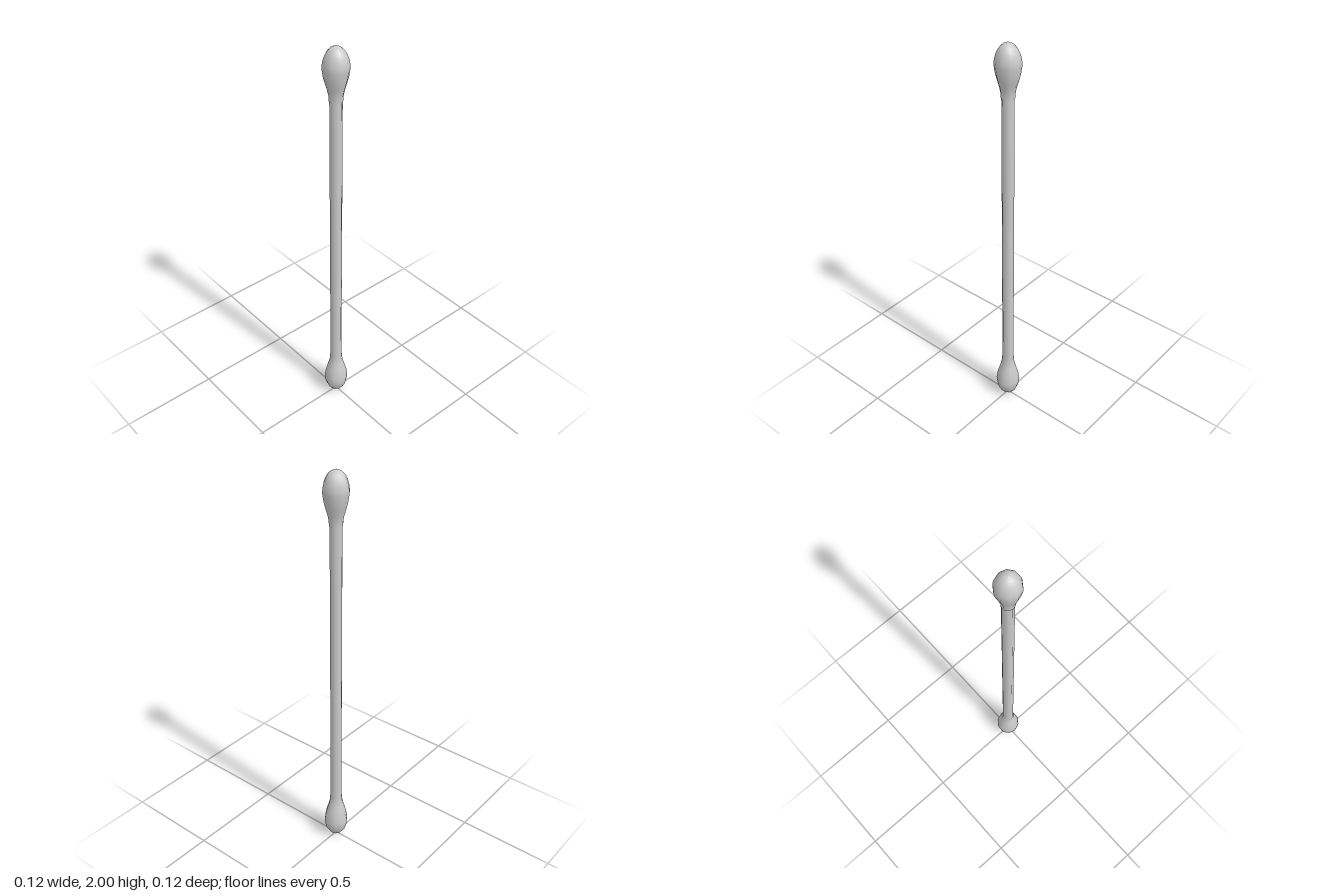
import * as THREE from 'three';

export function createModel() {
  const group = new THREE.Group();
  const material = new THREE.MeshStandardMaterial({ color: 0xcccccc, side: THREE.DoubleSide });
  const sides = 10;

  // Thin straight stick, its ends hidden inside the tips
  const stick = new THREE.Mesh(
    new THREE.CylinderGeometry(0.029, 0.029, 1.56, sides, 1, false, Math.PI / 2), material);
  stick.name = 'stick';
  stick.position.y = 1;
  group.add(stick);

  // Swab profile, measured from the middle of the stick: flared neck, then a rounded dome
  const profile = [
    [0.032, 0.75], [0.033, 0.775], [0.038, 0.8], [0.047, 0.83], [0.055, 0.86],
  ].map(([r, y]) => new THREE.Vector2(r, y));
  for (let i = 0; i <= 8; i++) {
    const a = (i / 8) * Math.PI / 2;
    profile.push(new THREE.Vector2(i === 8 ? 0 : 0.061 * Math.cos(a), 0.9 + 0.1 * Math.sin(a)));
  }
  const tipGeometry = new THREE.LatheGeometry(profile, sides, Math.PI / 2);

  // The same tip at both ends
  for (const [name, turn] of [['topTip', 0], ['bottomTip', Math.PI]]) {
    const tip = new THREE.Mesh(tipGeometry, material);
    tip.name = name;
    tip.position.y = 1;
    tip.rotation.z = turn;
    group.add(tip);
  }
  return group;
}
